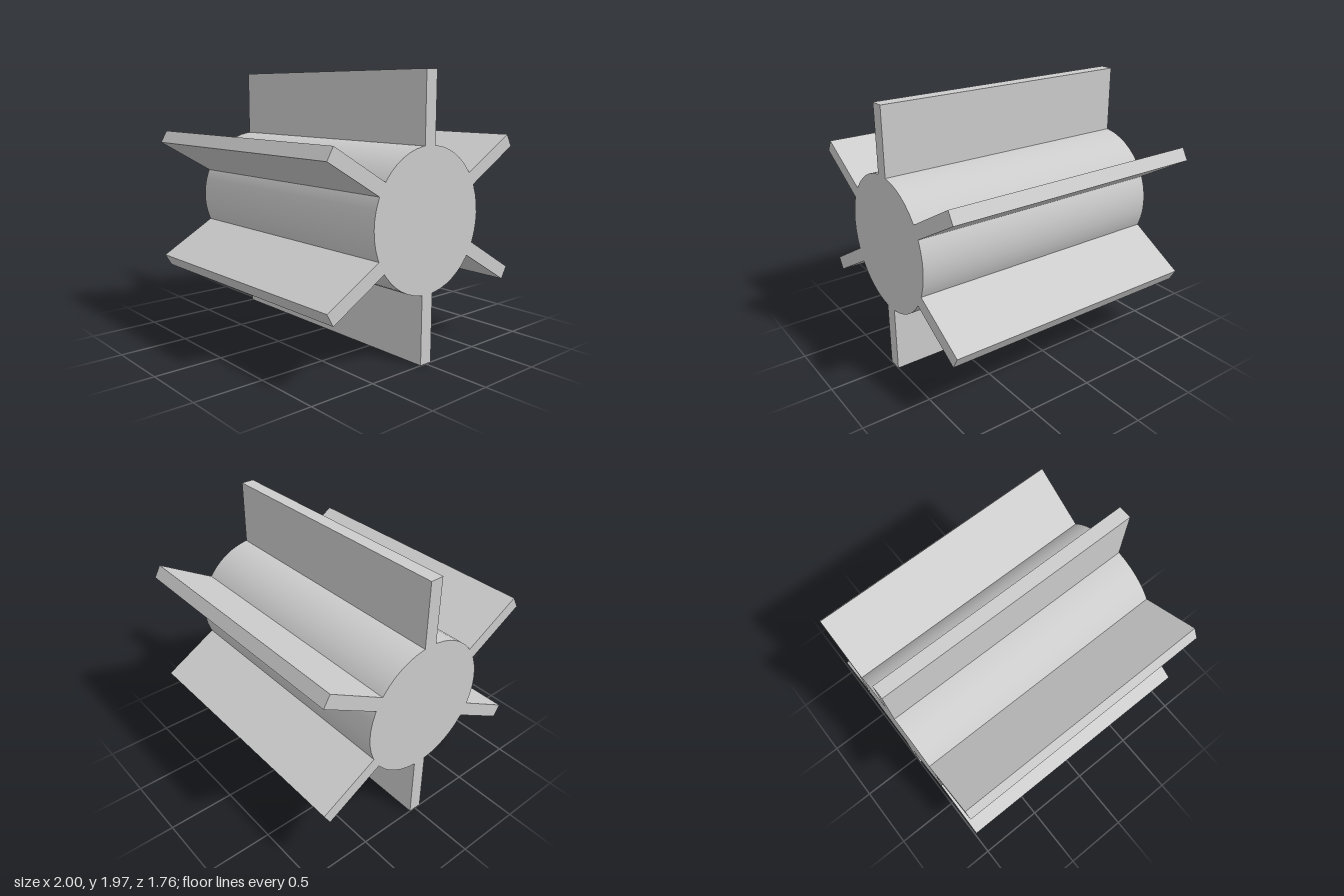
import * as THREE from 'three';

const LENGTH = 2, HUB_RADIUS = 0.5, TIP_RADIUS = 0.987, FIN_THICKNESS = 0.1, FIN_COUNT = 6;

export function createModel() {
  const model = new THREE.Group();
  model.name = 'finnedRoller';
  const grey = new THREE.MeshStandardMaterial({ color: 0xcccccc });
  grey.name = 'light grey';

  // Hub lying along x
  const hub = new THREE.Mesh(new THREE.CylinderGeometry(HUB_RADIUS, HUB_RADIUS, LENGTH, 48), grey);
  hub.name = 'hub';
  hub.rotation.z = Math.PI / 2;
  hub.position.y = TIP_RADIUS;
  model.add(hub);

  // Radial fins, their roots sunk slightly into the hub
  const root = HUB_RADIUS - 0.02;
  const finGeometry = new THREE.BoxGeometry(LENGTH, TIP_RADIUS - root, FIN_THICKNESS);
  finGeometry.translate(0, (TIP_RADIUS + root) / 2, 0);
  for (let i = 0; i < FIN_COUNT; i++) {
    const fin = new THREE.Mesh(finGeometry, grey);
    fin.name = `fin${i + 1}`;
    fin.rotation.x = (i / FIN_COUNT) * Math.PI * 2;
    fin.position.y = TIP_RADIUS;
    model.add(fin);
  }
  return model;
}
